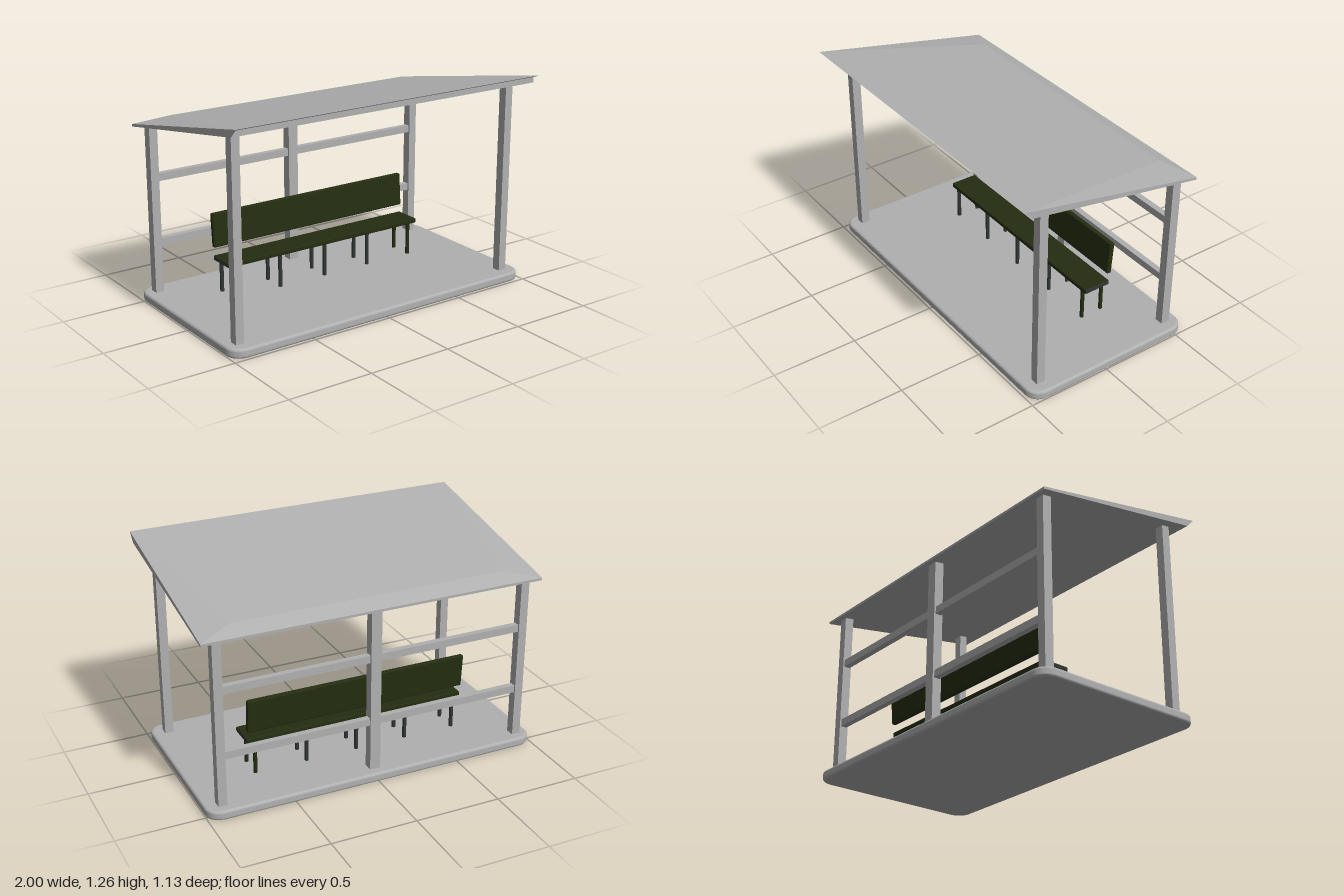
import * as THREE from 'three';
import { RoundedBoxGeometry } from 'three/addons/geometries/RoundedBoxGeometry.js';

const material = (name, color, side = THREE.FrontSide) => {
  const m = new THREE.MeshStandardMaterial({ color, side });
  m.name = name;
  return m;
};

// Flat-shaded surface from lists of planar corner loops
function facets(loops) {
  const pos = [];
  for (const loop of loops)
    for (let i = 1; i < loop.length - 1; i++) pos.push(...loop[0], ...loop[i], ...loop[i + 1]);
  const g = new THREE.BufferGeometry();
  g.setAttribute('position', new THREE.Float32BufferAttribute(pos, 3));
  g.computeVertexNormals();
  return g;
}

export function createModel() {
  const concrete = material('concrete grey', 0xb0b0b0);
  const green = material('dark green', 0x242e11);
  const iron = material('dark grey', 0x323733);

  const model = new THREE.Group();
  model.name = 'benchShelter';
  const add = (parent, name, geometry, mat, x = 0, y = 0, z = 0) => {
    const m = new THREE.Mesh(geometry, mat);
    m.name = name;
    m.position.set(x, y, z);
    parent.add(m);
    return m;
  };

  // Floor slab with rounded corners and softened edges
  const bevel = 0.015, w = 1 - bevel, d = 0.5275 - bevel, r = 0.07;
  const plan = new THREE.Shape();
  plan.absarc(w - r, d - r, r, 0, Math.PI / 2);
  plan.absarc(-w + r, d - r, r, Math.PI / 2, Math.PI);
  plan.absarc(-w + r, -d + r, r, Math.PI, Math.PI * 1.5);
  plan.absarc(w - r, -d + r, r, Math.PI * 1.5, Math.PI * 2);
  const slab = new THREE.ExtrudeGeometry(plan, {
    depth: 0.055 - 2 * bevel, bevelEnabled: true, bevelSize: bevel,
    bevelThickness: bevel, bevelSegments: 4, curveSegments: 8,
  });
  slab.rotateX(-Math.PI / 2);
  add(model, 'floorSlab', slab, concrete, 0, bevel, -0.0375);

  // Posts
  const post = (name, x, z, top, width, depth) =>
    add(model, name, new THREE.BoxGeometry(width, top - 0.05, depth), concrete, x, (top + 0.05) / 2, z);
  for (const [side, x] of [['Right', -0.92], ['Left', 0.904]]) {
    post('frontPost' + side, x, 0.394, 1.19, 0.05, 0.052);
    post('backPost' + side, x, -0.481, 1.04, 0.05, 0.054);
  }
  post('backPostMiddle', 0, -0.481, 1.04, 0.062, 0.056);

  // Rails across the back
  for (const y of [0.35, 0.733])
    add(model, 'backRail', new THREE.BoxGeometry(1.8, 0.043, 0.036), concrete, -0.008, y, -0.481);

  // Sloping roof: hipped back and sides, overhanging front lip
  const pt = (s, x, y, z) => [s * x, y, z];
  const corners = (s) => ({
    tip: pt(s, 1, 1.256, 0.565), low: pt(s, 1, 1.205, 0.515), lip: pt(s, 1, 1.237, 0.515),
    hip: pt(s, 0.81, 1.081, -0.455), edge: pt(s, 1, 1.04, -0.547), base: pt(s, 1, 1.026, -0.547),
  });
  const L = corners(1), R = corners(-1);
  const roof = facets([
    [R.tip, L.tip, L.hip, R.hip],
    [R.hip, L.hip, L.edge, R.edge],
    [L.tip, L.edge, L.hip],
    [R.tip, R.hip, R.edge],
    [L.low, L.base, L.edge, L.tip],
    [R.low, R.tip, R.edge, R.base],
    [L.base, R.base, R.edge, L.edge],
    [R.low, R.base, L.base, L.low],
    [R.low, L.low, L.lip, R.lip],
    [R.lip, L.lip, L.tip, R.tip],
  ]);
  add(model, 'roof', roof, concrete);

  // Bench: seat with grey ends, tilted backrest, five pairs of legs
  const bench = new THREE.Group();
  bench.name = 'bench';
  model.add(bench);
  add(bench, 'seat', new RoundedBoxGeometry(1.334, 0.028, 0.167, 2, 0.006),
    [iron, iron, green, green, green, green], 0, 0.264, -0.192);
  const back = add(bench, 'backrest', new RoundedBoxGeometry(1.334, 0.2, 0.03, 2, 0.009),
    green, 0, 0.425, -0.281);
  back.rotation.x = -0.08;
  for (let i = -2; i <= 2; i++)
    for (const z of [-0.128, -0.262])
      add(bench, 'leg', new THREE.CylinderGeometry(0.0115, 0.0115, 0.205, 12),
        i === 2 ? green : iron, i * 0.31 - 0.003, 0.1525, z);

  return model;
}
